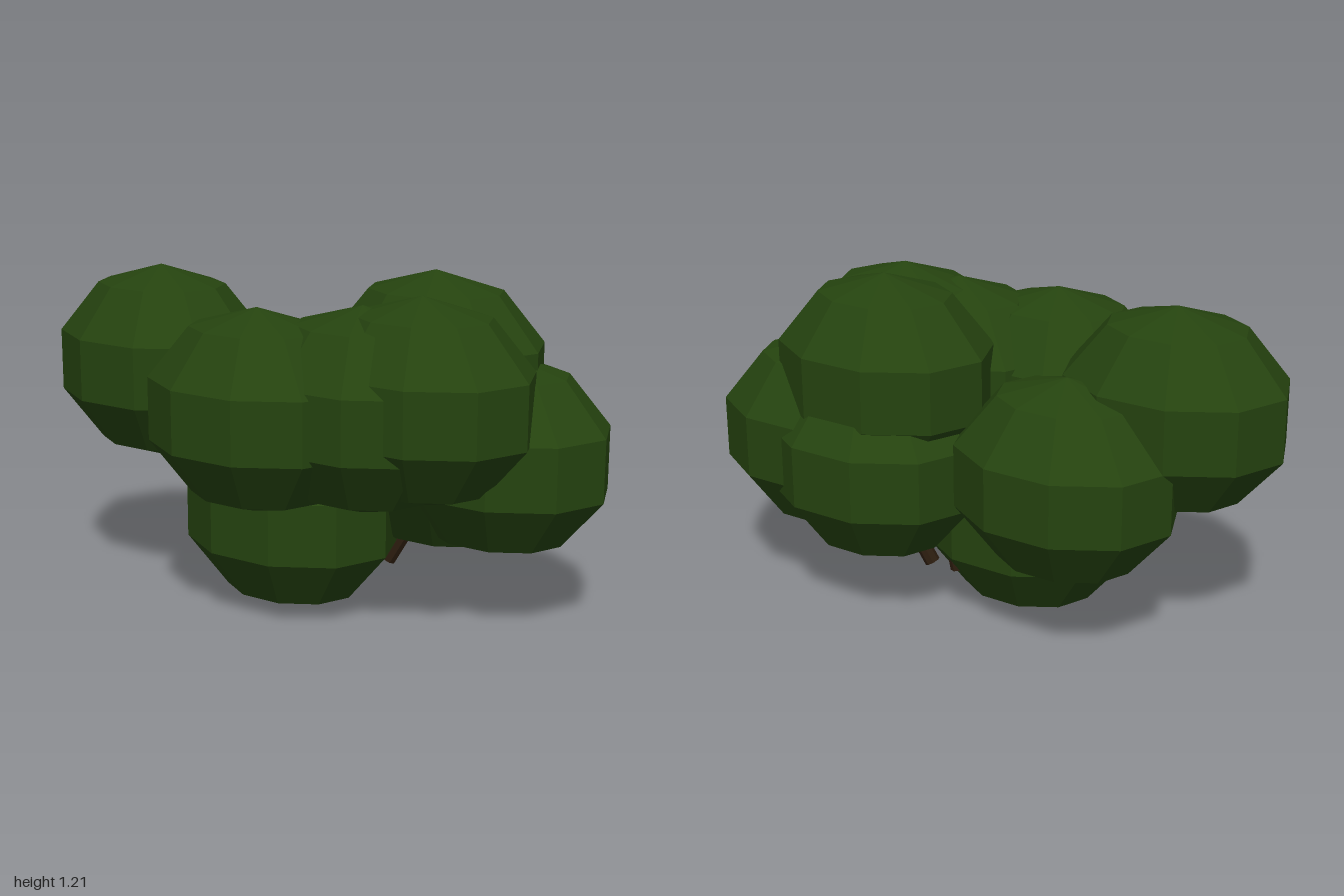
import * as THREE from 'three';

export function createModel() {
  const model = new THREE.Group();
  model.name = 'foliageCluster';

  const leafGreen = new THREE.MeshStandardMaterial({ color: 0x25430f, flatShading: true });
  leafGreen.name = 'leafGreen';
  const barkBrown = new THREE.MeshStandardMaterial({ color: 0x2c1d0f, flatShading: true });
  barkBrown.name = 'barkBrown';

  // Leaf clumps: one faceted ellipsoid repeated at each centre
  const clumpGeometry = new THREE.SphereGeometry(1, 10, 5);
  clumpGeometry.scale(0.415, 0.351, 0.335);
  const clumps = {
    rightUpperClump: [-0.605, 0.828, 0.09],
    rightBackClump: [-0.35, 0.612, -0.173],
    frontClump: [-0.043, 0.757, 0.272],
    bottomClump: [-0.072, 0.354, 0.04],
    leftInnerClump: [0.285, 0.777, 0.134],
    leftFrontClump: [0.47, 0.817, 0.067],
    backTopClump: [0.355, 0.857, -0.205],
    backLowerClump: [0.36, 0.56, -0.27],
    leftOuterClump: [0.605, 0.6, -0.218],
  };
  for (const [name, centre] of Object.entries(clumps)) {
    const clump = new THREE.Mesh(clumpGeometry, leafGreen);
    clump.name = name;
    clump.position.set(...centre);
    model.add(clump);
  }

  // Branches: short stubs leaning out below the leaves
  function addBranch(name, from, to) {
    const start = new THREE.Vector3(...from);
    const end = new THREE.Vector3(...to);
    const axis = end.clone().sub(start);
    const branch = new THREE.Mesh(new THREE.CylinderGeometry(0.027, 0.027, axis.length(), 8), barkBrown);
    branch.name = name;
    branch.position.copy(start).add(end).multiplyScalar(0.5);
    branch.quaternion.setFromUnitVectors(new THREE.Vector3(0, 1, 0), axis.normalize());
    model.add(branch);
  }
  addBranch('leftBranch', [0.2, 0.16, -0.17], [0.36, 0.45, -0.21]);
  addBranch('middleBranch', [0.1, 0.155, -0.155], [0.14, 0.45, -0.18]);

  return model;
}
